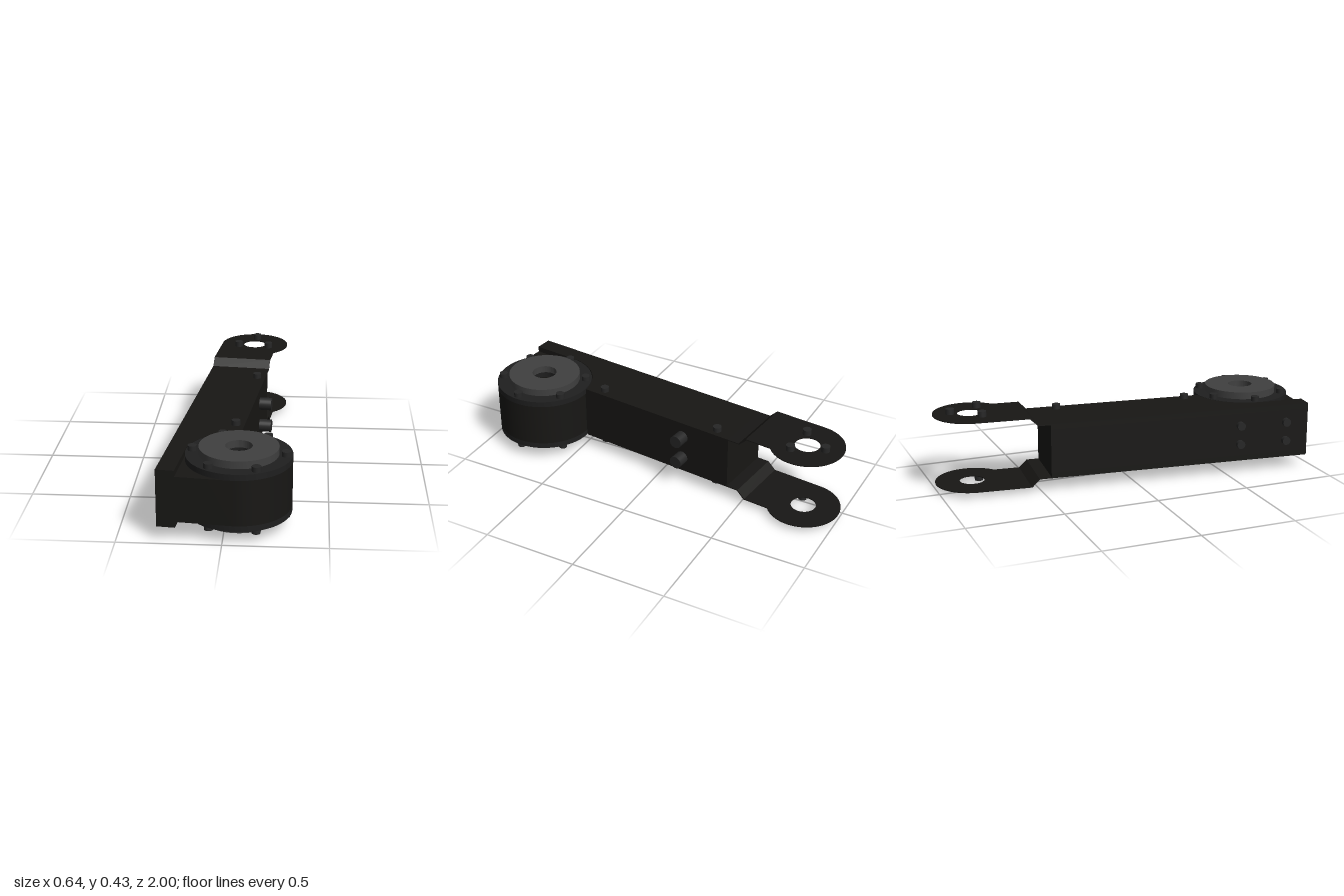
import * as THREE from 'three';
import { toCreasedNormals } from 'three/addons/utils/BufferGeometryUtils.js';

const DARK = new THREE.MeshStandardMaterial({ color: 0x181715 });
const FLANGE = new THREE.MeshStandardMaterial({ color: 0x1f1f1f });
const CAP = new THREE.MeshStandardMaterial({ color: 0x404040 });
const BOLT = new THREE.MeshStandardMaterial({ color: 0x262626 });

// Arm frame: x across the arm, -z along it, hub axis at the origin
const LEFT = -0.35, RIGHT = -0.03, FRONT = -0.257, END = 1.16;
const HUB_R = 0.257, BORE_R = 0.065;
const RING = { x: -0.159, d: 1.542, r: 0.19 };

export function createModel() {
  const model = new THREE.Group();
  const arm = new THREE.Group();
  arm.name = 'arm';
  arm.rotation.y = -0.103;
  arm.position.set(0.065, 0.2135, 0.74);
  model.add(arm);

  const add = (name, geometry, material) => {
    const mesh = new THREE.Mesh(geometry, material);
    mesh.name = name;
    arm.add(mesh);
    return mesh;
  };

  // Plan outline (x, distance along arm) raised from y0 to y1
  const slab = (shape, y0, y1) => {
    const g = new THREE.ExtrudeGeometry(shape, { depth: y1 - y0, bevelEnabled: false, curveSegments: 48 });
    g.rotateX(-Math.PI / 2);
    g.translate(0, y0, 0);
    return toCreasedNormals(g, 0.5);
  };
  // Same slab on the top (s = 1) or bottom (s = -1)
  const sideSlab = (shape, y0, y1, s) => (s > 0 ? slab(shape, y0, y1) : slab(shape, -y1, -y0));

  const bore = (shape, x, d) => {
    shape.holes.push(new THREE.Path().absarc(x, d, BORE_R, 0, Math.PI * 2, true));
    return shape;
  };
  const disc = (r) => bore(new THREE.Shape().absarc(0, 0, r, 0, Math.PI * 2, false), 0, 0);

  const bolt = (name, r, h) => add(name, new THREE.CylinderGeometry(r, r, h, 24), BOLT);

  // Arm core merged with the hub drum
  const core = new THREE.Shape();
  core.moveTo(LEFT, FRONT);
  core.lineTo(0, FRONT);
  core.absarc(0, 0, HUB_R, -Math.PI / 2, Math.acos(RIGHT / HUB_R), false);
  core.lineTo(RIGHT, END);
  core.lineTo(LEFT, END);
  core.closePath();
  add('armCore', slab(bore(core, 0, 0), -0.115, 0.115), DARK);

  // Cover layer, cut away around the hub flange
  const cover = new THREE.Shape();
  cover.moveTo(LEFT, FRONT);
  cover.lineTo(-0.26, FRONT);
  cover.lineTo(-0.26, 0);
  cover.absarc(0, 0, 0.26, Math.PI, Math.acos(RIGHT / 0.26), true);
  cover.lineTo(RIGHT, END);
  cover.lineTo(LEFT, END);
  cover.closePath();

  // Fork plate ending in a ring
  const fork = new THREE.Shape();
  fork.moveTo(LEFT, 1.265);
  fork.lineTo(RIGHT, 1.265);
  fork.absarc(RING.x, RING.d, RING.r, -Math.acos((RIGHT - RING.x) / RING.r), Math.PI, false);
  fork.closePath();
  bore(fork, RING.x, RING.d);

  // Side profile of the bend joining arm and fork plate
  const bend = [[1.16, 0.14], [1.225, 0.14], [1.267, 0.18], [1.267, 0.185], [1.262, 0.185], [1.222, 0.145], [1.16, 0.145]];

  for (const s of [1, -1]) {
    const side = s > 0 ? 'upper' : 'lower';
    add(side + 'ArmCover', sideSlab(cover, 0.115, 0.145, s), DARK);
    add(side + 'HubFlange', sideSlab(disc(HUB_R), 0.115, 0.145, s), FLANGE);
    add(side + 'HubCap', sideSlab(disc(0.192), 0.145, 0.183, s), CAP);
    add(side + 'ForkPlate', sideSlab(fork, 0.18, 0.185, s), DARK);

    const profile = new THREE.Shape(bend.map(([d, y]) => new THREE.Vector2(d, y * s)));
    const bendGeometry = new THREE.ExtrudeGeometry(profile, { depth: RIGHT - LEFT, bevelEnabled: false });
    bendGeometry.rotateY(Math.PI / 2);
    bendGeometry.translate(LEFT, 0, 0);
    add(side + 'ForkBend', bendGeometry, DARK);

    // Six flange bolts
    for (let i = 0; i < 6; i++) {
      const a = Math.PI / 6 + (i * Math.PI) / 3;
      bolt(side + 'FlangeBolt', 0.022, 0.025).position.set(-0.226 * Math.sin(a), s * 0.1575, -0.226 * Math.cos(a));
    }
    // Three ring bolts
    for (let i = 0; i < 3; i++) {
      const a = (i * Math.PI * 2) / 3;
      bolt(side + 'RingBolt', 0.022, 0.0285).position.set(
        RING.x + 0.1 * Math.sin(a), s * 0.19925, -RING.d - 0.1 * Math.cos(a));
    }
    // Arm cover bolts
    for (const d of [0.354, 1.068]) bolt(side + 'ArmBolt', 0.022, 0.025).position.set(-0.074, s * 0.1575, -d);

    // Bolts on the outer wall beside the hub
    for (const d of [-0.13, 0.13]) {
      const b = bolt('outerWallBolt', 0.022, 0.026);
      b.rotation.z = Math.PI / 2;
      b.position.set(LEFT - 0.011, s * 0.051, -d);
    }
    // Large studs on the inner wall
    const stud = bolt('innerWallStud', 0.034, 0.066);
    stud.rotation.z = Math.PI / 2;
    stud.position.set(RIGHT + 0.031, s * 0.063, -0.882);
  }
  return model;
}
